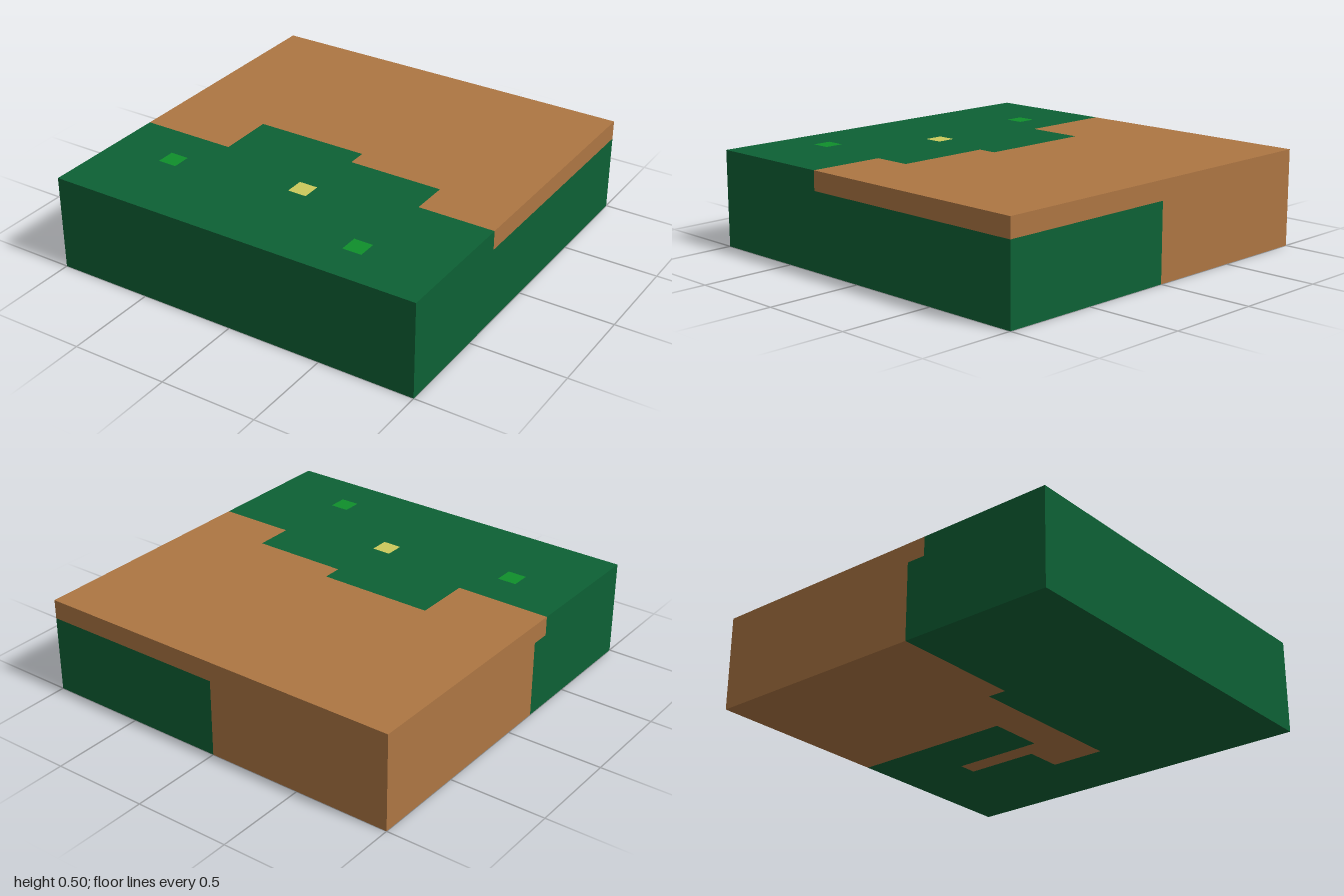
import * as THREE from 'three';

const mat = (name, color) => new THREE.MeshStandardMaterial({ name, color });

export function createModel() {
  const group = new THREE.Group();
  group.name = 'groundBlock';
  const grass = mat('grassGreen', 0x0d6135);
  const earth = mat('earthBrown', 0xad7643);
  const leaf = mat('leafGreen', 0x0f8f2b);
  const bloom = mat('bloomYellow', 0xcbc95b);

  // One side of the block: its own group, holding flat patches that meet edge to edge
  const side = (name, rx, ry, x, y, z) => {
    const g = new THREE.Group();
    g.name = name;
    g.rotation.set(rx, ry, 0);
    g.position.set(x, y, z);
    group.add(g);
    return g;
  };
  const points = (list) => list.map(([a, b]) => new THREE.Vector2(a, b));
  const rect = (a0, b0, a1, b1) => [[a0, b0], [a1, b0], [a1, b1], [a0, b1]];
  const patch = (parent, name, material, outline, holes = []) => {
    const shape = new THREE.Shape(points(outline));
    holes.forEach((h) => shape.holes.push(new THREE.Path(points(h))));
    const mesh = new THREE.Mesh(new THREE.ShapeGeometry(shape), material);
    mesh.name = name;
    parent.add(mesh);
  };

  // Top, in (x, -z): stepped border between earth and grass, with small plants
  const top = side('top', -Math.PI / 2, 0, 0, 0.5, 0);
  const topBorder = [[-1, -0.3], [-0.5, -0.3], [-0.5, 0], [0.1, 0], [0.1, -0.1],
    [0.6, -0.1], [0.6, -0.3], [1, -0.3]];
  const plants = [
    ['flower', bloom, rect(0, -0.5, 0.1, -0.4)],
    ['leftTuft', leaf, rect(-0.7, -0.6, -0.6, -0.5)],
    ['rightTuft', leaf, rect(0.5, -0.8, 0.6, -0.7)],
  ];
  patch(top, 'topEarth', earth, [...topBorder, [1, 1], [-1, 1]]);
  patch(top, 'topGrass', grass, [...topBorder, [1, -1], [-1, -1]], plants.map((p) => p[2]));
  plants.forEach(([name, material, outline]) => patch(top, name, material, outline));

  // Front: plain grass
  patch(side('front', 0, 0, 0, 0, 1), 'frontGrass', grass, rect(-1, 0, 1, 0.5));

  // Side at +x, in (-z, y): earth strip along the upper edge
  const plusX = side('plusXSide', 0, Math.PI / 2, 1, 0, 0);
  patch(plusX, 'sideEarthStrip', earth, rect(-0.3, 0.4, 1, 0.5));
  patch(plusX, 'sideGrass', grass,
    [[-1, 0], [1, 0], [1, 0.4], [-0.3, 0.4], [-0.3, 0.5], [-1, 0.5]]);

  // Back, in (-x, y): earth on one half and along the upper edge
  const back = side('back', 0, Math.PI, 0, 0, -1);
  patch(back, 'backGrass', grass, rect(-1, 0, 0, 0.4));
  patch(back, 'backEarth', earth, [[0, 0], [1, 0], [1, 0.5], [-1, 0.5], [-1, 0.4], [0, 0.4]]);

  // Side at -x, in (z, y): earth with a small overhang at the top
  const minusX = side('minusXSide', 0, -Math.PI / 2, -1, 0, 0);
  const overhang = [[0.2, 0], [0.2, 0.4], [0.3, 0.4], [0.3, 0.5]];
  patch(minusX, 'sideEarth', earth, [...overhang, [-1, 0.5], [-1, 0]]);
  patch(minusX, 'sideGrass', grass, [...overhang, [1, 0.5], [1, 0]]);

  // Underside, in (x, z): winding border between earth and grass
  const bottom = side('underside', Math.PI / 2, 0, 0, 0, 0);
  const bottomBorder = [[0, -1], [0, -0.1], [0.3, -0.1], [0.3, -0.6], [0.4, -0.6], [0.4, -0.2],
    [0.6, -0.2], [0.6, 0.1], [-0.3, 0.1], [-0.3, 0.2], [-1, 0.2]];
  patch(bottom, 'undersideEarth', earth, [...bottomBorder, [-1, -1]]);
  patch(bottom, 'undersideGrass', grass, [...bottomBorder, [-1, 1], [1, 1], [1, -1]]);

  return group;
}
